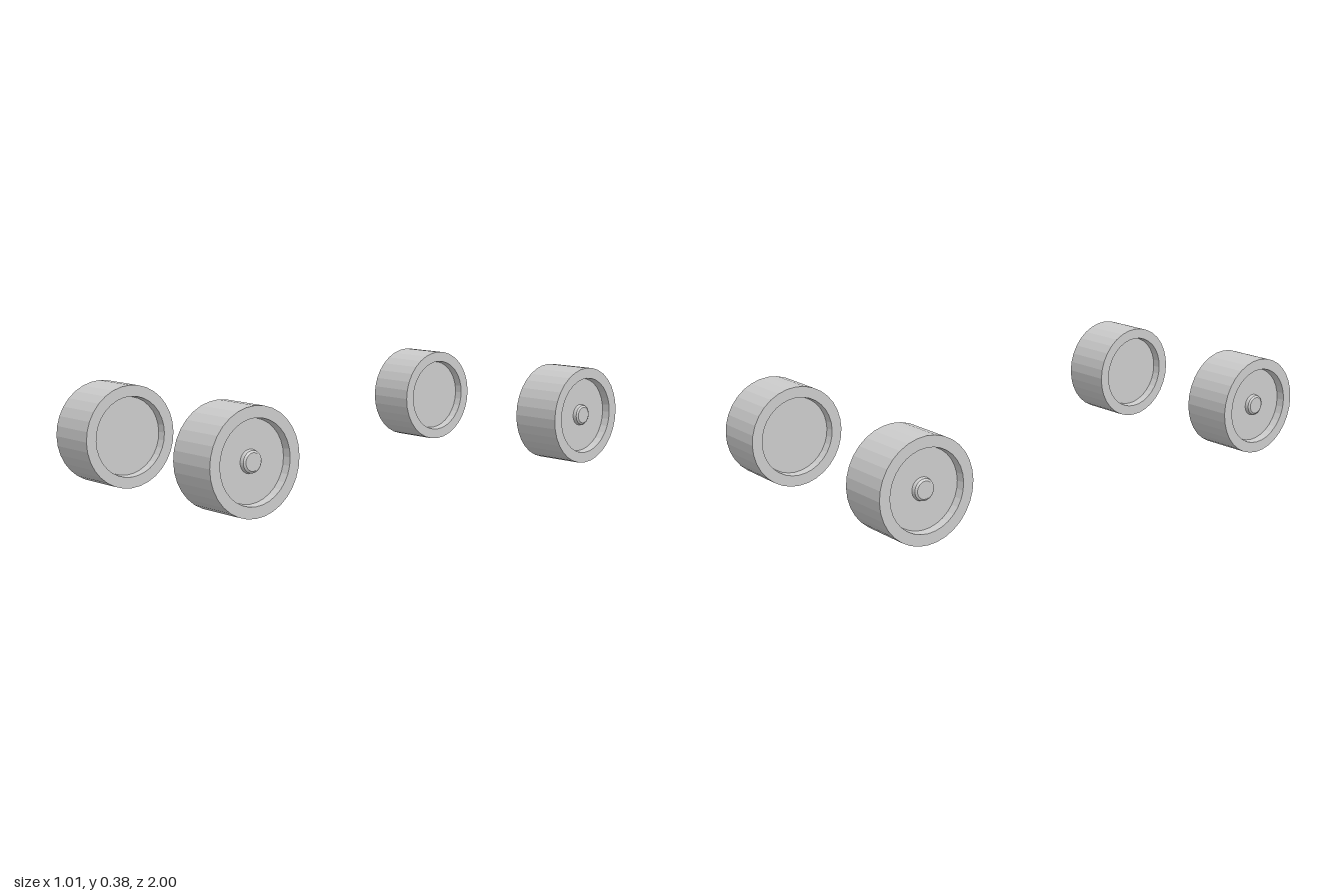
import * as THREE from 'three';

const R = 0.1875;      // tyre radius
const W = 0.196;       // tyre width
const DEPTH = 0.03;    // recess depth on both faces
const SEGMENTS = 32;

// Turned part whose axis is y, from [radius, height] pairs
function lathe(points, segments) {
  return new THREE.LatheGeometry(points.map(([r, y]) => new THREE.Vector2(r, y)), segments);
}

export function createModel() {
  const model = new THREE.Group();
  const material = new THREE.MeshStandardMaterial({ color: 0xcccccc, flatShading: true });

  const h = W / 2;
  const floor = h - DEPTH;

  // Tyre with a dished recess on each face
  const tyreGeometry = lathe([
    [0, -floor], [0.143, -floor], [0.147, -h], [R, -h],
    [R, h], [0.147, h], [0.143, floor], [0, floor],
  ], SEGMENTS);

  // Small tapered cap in the middle of the outer recess
  const capGeometry = lathe([
    [0.041, floor], [0.038, floor + 0.013], [0.031, floor + 0.018], [0, floor + 0.018],
  ], SEGMENTS);

  function addWheel(name, side, x, z) {
    const wheel = new THREE.Group();
    wheel.name = name;
    const tyre = new THREE.Mesh(tyreGeometry, material);
    tyre.name = 'tyre';
    const cap = new THREE.Mesh(capGeometry, material);
    cap.name = 'hubCap';
    wheel.add(tyre, cap);
    wheel.rotation.z = -side * Math.PI / 2; // cap faces outward
    wheel.position.set(side * x, R, z);
    model.add(wheel);
  }

  // The rear pair stands wider than the front pair
  for (const [label, side] of [['Left', 1], ['Right', -1]]) {
    addWheel('front' + label + 'Wheel', side, 0.355, 1 - R);
    addWheel('rear' + label + 'Wheel', side, 0.406, -1 + R);
  }
  return model;
}
